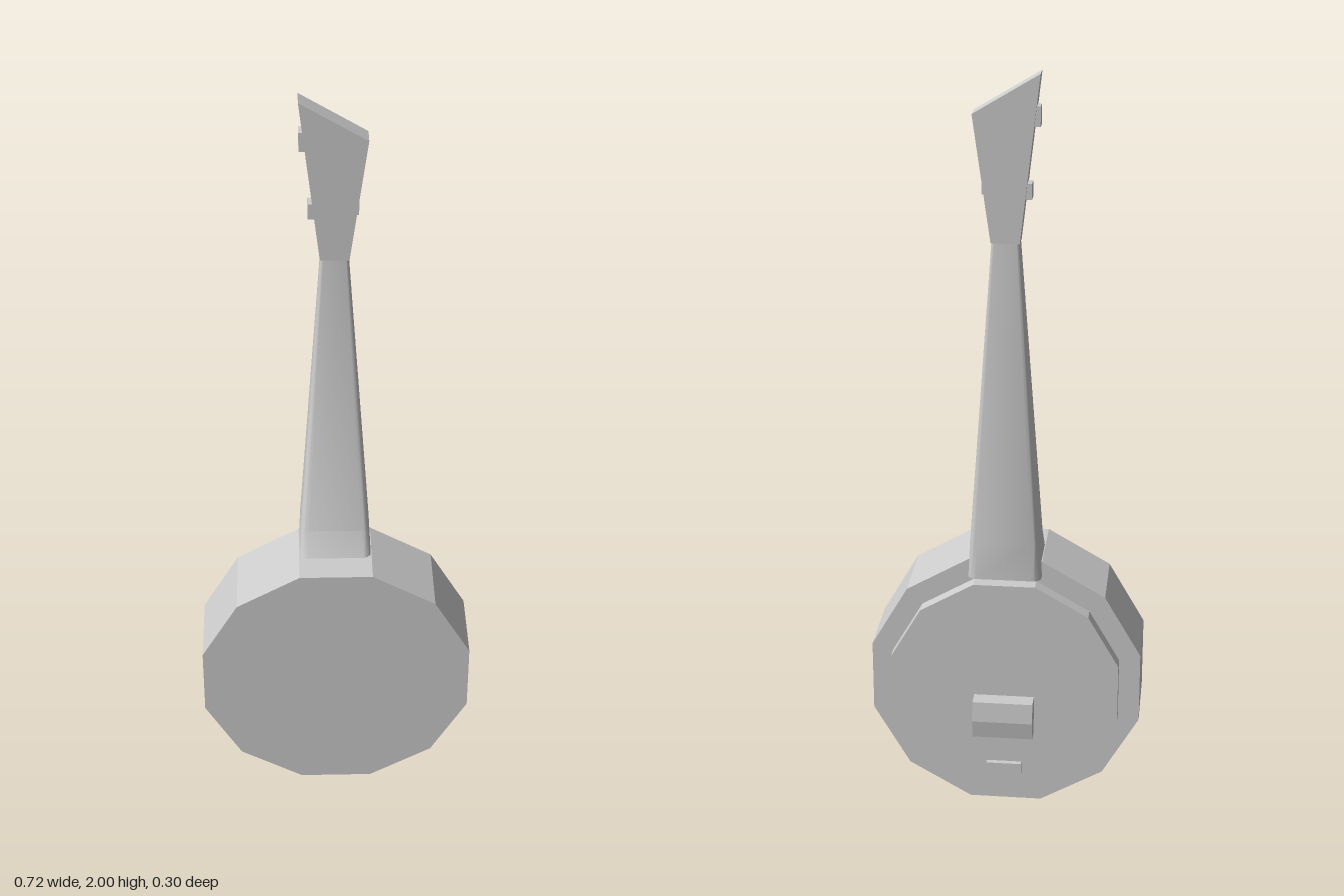
import * as THREE from 'three';
import { toCreasedNormals } from 'three/addons/utils/BufferGeometryUtils.js';

export function createModel() {
  const model = new THREE.Group();
  const grey = new THREE.MeshStandardMaterial({ color: 0xcccccc });
  grey.name = 'light grey';

  const add = (name, geometry) => {
    const mesh = new THREE.Mesh(geometry, grey);
    mesh.name = name;
    model.add(mesh);
    return mesh;
  };

  // Twelve-sided drum with flat top and bottom edges, lying along z
  const drum = (name, apothem, z0, z1) => {
    const r = apothem / Math.cos(Math.PI / 12);
    const g = new THREE.CylinderGeometry(r, r, z1 - z0, 12, 1, false, Math.PI / 12);
    g.rotateX(Math.PI / 2).translate(0, 0.361, (z0 + z1) / 2);
    add(name, toCreasedNormals(g, 0.2));
  };
  drum('body', 0.359, -0.06, 0.15);
  drum('skin', 0.303, -0.1, -0.06);

  // Box given by its limits
  const box = (name, x0, x1, y0, y1, z0, z1) => add(name,
    new THREE.BoxGeometry(x1 - x0, y1 - y0, z1 - z0)
      .translate((x0 + x1) / 2, (y0 + y1) / 2, (z0 + z1) / 2));

  // Bridge: slightly peaked profile in z and y, extruded across x
  const profile = new THREE.Shape([[0.1, 0.235], [0.142, 0.235], [0.15, 0.285], [0.144, 0.34], [0.1, 0.34]]
    .map(([z, y]) => new THREE.Vector2(z, y)));
  add('bridge', new THREE.ExtrudeGeometry(profile, { depth: 0.16, bevelEnabled: false })
    .translate(0, 0, -0.08).rotateY(Math.PI / 2));
  box('tailpiece', -0.047, 0.047, 0.105, 0.14, -0.114, -0.1);

  // Neck: rounded rectangles [y, half width, back z, front z, corner radius]
  const sections = [
    [0.68, 0.096, -0.097, 0.097, 0.022],
    [0.78, 0.091, -0.092, 0.03, 0.02],
    [1.58, 0.035, -0.062, -0.014, 0.007],
  ];
  const steps = 5;
  const positions = [];
  const indices = [];
  const count = 4 * (steps + 1);
  for (const [y, w, back, front, r] of sections) {
    for (let c = 0; c < 4; c++) {
      const sx = c === 0 || c === 3 ? 1 : -1;
      const cz = c < 2 ? front - r : back + r;
      for (let s = 0; s <= steps; s++) {
        const a = (c + s / steps) * Math.PI / 2;
        positions.push(sx * (w - r) + r * Math.cos(a), y, cz + r * Math.sin(a));
      }
    }
  }
  for (let k = 0; k < sections.length - 1; k++) {
    for (let i = 0; i < count; i++) {
      const a = k * count + i;
      const b = k * count + (i + 1) % count;
      indices.push(a, a + count, b, b, a + count, b + count);
    }
  }
  const top = (sections.length - 1) * count;
  for (let i = 1; i < count - 1; i++) {
    indices.push(0, i, i + 1, top, top + i + 1, top + i);
  }
  const neck = new THREE.BufferGeometry();
  neck.setAttribute('position', new THREE.Float32BufferAttribute(positions, 3));
  neck.setIndex(indices);
  add('neck', toCreasedNormals(neck, 0.6));

  // Headstock with a slanted top
  const outline = new THREE.Shape([[-0.036, 1.58], [0.036, 1.58], [0.081, 1.9], [-0.085, 2]]
    .map(([x, y]) => new THREE.Vector2(x, y)));
  add('headstock', new THREE.ExtrudeGeometry(outline, { depth: 0.053, bevelEnabled: false })
    .translate(0, 0, -0.066));

  // Tuning pegs on the sides of the headstock
  box('lowerRightPeg', -0.065, -0.03, 1.69, 1.73, -0.056, -0.021);
  box('upperRightPeg', -0.085, -0.05, 1.87, 1.92, -0.056, -0.021);
  box('leftPeg', 0.03, 0.059, 1.7, 1.745, -0.056, -0.021);

  return model;
}
